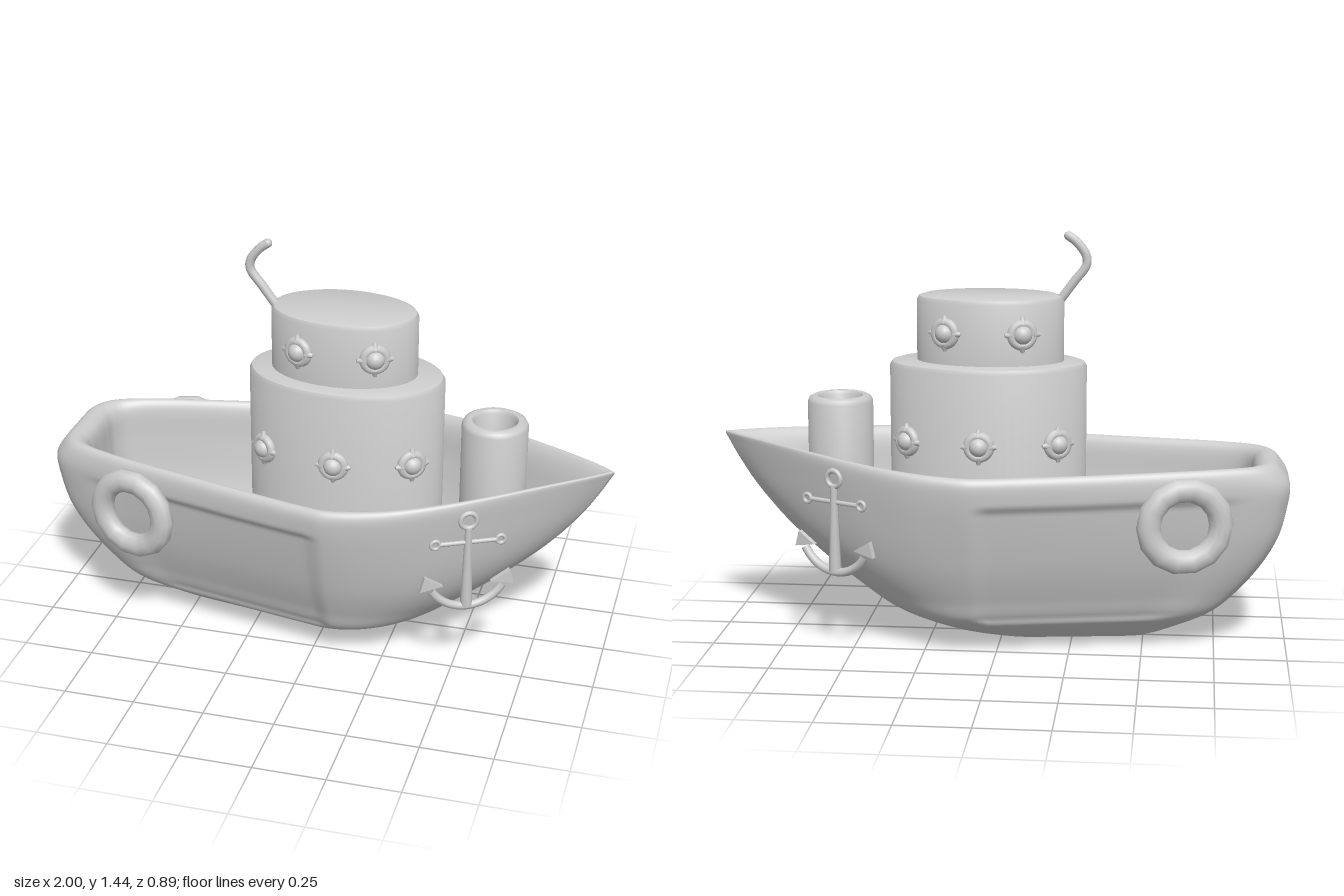
import * as THREE from 'three';
import { toCreasedNormals } from 'three/addons/utils/BufferGeometryUtils.js';

const grey = new THREE.MeshStandardMaterial({ color: 0xcccccc });
const v2 = (x, y) => new THREE.Vector2(x, y);
const v3 = (x, y, z) => new THREE.Vector3(x, y, z);

function add(parent, name, geometry, x = 0, y = 0, z = 0) {
  const mesh = new THREE.Mesh(geometry, grey);
  mesh.name = name;
  mesh.position.set(x, y, z);
  parent.add(mesh);
  return mesh;
}

function group(parent, name, x, y, z, nx, nz) {
  const g = new THREE.Group();
  g.name = name;
  g.position.set(x, y, z);
  g.rotation.y = Math.atan2(nx, nz);
  parent.add(g);
  return g;
}

// Hull: plan outlines stacked from the keel, over the rim, down to the inner floor
function hullGeometry() {
  // [height, stern x, bow x, half width]
  const levels = [
    [0.003, -0.25, -0.2, 0], [0.008, -0.46, 0.03, 0.08], [0.022, -0.53, 0.14, 0.125], [0.055, -0.61, 0.27, 0.195],
    [0.12, -0.74, 0.42, 0.297], [0.2, -0.83, 0.54, 0.335], [0.3, -0.91, 0.67, 0.375],
    [0.4, -0.965, 0.785, 0.404], [0.5, -0.992, 0.88, 0.428], [0.575, -1, 0.94, 0.442],
    [0.63, -0.97, 0.98, 0.445], [0.655, -0.94, 0.995, 0.43], [0.65, -0.9, 0.96, 0.41],
    [0.61, -0.875, 0.91, 0.393], [0.5, -0.868, 0.82, 0.38], [0.35, -0.85, 0.66, 0.345],
    [0.2, -0.76, 0.47, 0.285], [0.12, -0.65, 0.34, 0.22], [0.08, -0.49, 0.18, 0.12], [0.07, -0.2, -0.1, 0],
  ];
  // [fraction of length, fraction of half width]; widest at 0.54
  const outline = new THREE.CatmullRomCurve3([
    [0, 0], [0, 0.16], [0.004, 0.3], [0.03, 0.44], [0.1, 0.555], [0.3, 0.765], [0.5, 0.97], [0.54, 1],
    [0.58, 0.985], [0.65, 0.915], [0.75, 0.725], [0.824, 0.535], [0.9, 0.32], [0.962, 0.135], [1, 0],
  ].map(([t, w]) => v3(t, w, 0)));
  const sterns = new THREE.CatmullRomCurve3(levels.map(l => v3(l[1], l[0], l[3])), false, 'catmullrom');
  const bows = new THREE.CatmullRomCurve3(levels.map(l => v3(l[2], l[0], 0)), false, 'catmullrom');
  const { lerp, smoothstep: step } = THREE.MathUtils;
  const half = 120, ring = half * 2, rows = 152, beam = 0.54;
  const pos = [], index = [];
  for (let j = 0; j <= rows; j++) {
    const s = sterns.getPoint(j / rows), b = bows.getPoint(j / rows);
    const mid = Math.min(0.08, lerp(s.x, b.x, 0.7));
    const full = 1 - step(s.y, 0.2, 0.66);
    const onOutside = j < rows * 0.53;
    for (let i = 0; i < ring; i++) {
      const p = outline.getPoint((i <= half ? i : ring - i) / half);
      let x, w = p.y;
      if (p.x < beam) x = lerp(s.x, mid, p.x / beam);
      else {
        // the bow grows rounder towards the keel
        const u = Math.min(1, (p.x - beam) / (1 - beam));
        x = lerp(mid, b.x, u);
        w = lerp(w, Math.pow(1 - u * u, 0.68), full);
      }
      // sheer lifts the bow and stern
      const lift = 0.06 * step(x, 0, 1.15) * Math.pow(Math.max(s.y, 0) / 0.65, 4) + 0.01 * step(-x, 0.2, 1) * step(s.y, 0.4, 0.6);
      // shallow sunken panel on the after sides
      const panel = onOutside ? step(p.x, 0.06, 0.16) * (1 - step(p.x, 0.5, 0.54)) * step(s.y, 0.1, 0.13) * (1 - step(s.y, 0.53, 0.565)) : 0;
      const z = Math.max(0, w * s.z - 0.014 * panel);
      pos.push(x, s.y + lift, i <= half ? z : -z);
    }
  }
  for (let j = 0; j < rows; j++) for (let i = 0; i < ring; i++) {
    const a = j * ring + i, b = j * ring + (i + 1) % ring;
    index.push(a, b, b + ring, a, b + ring, a + ring);
  }
  const g = new THREE.BufferGeometry();
  g.setAttribute('position', new THREE.Float32BufferAttribute(pos, 3));
  g.setIndex(index);
  g.computeVertexNormals();
  return g;
}

// Oval drum with a bevelled top edge
function drum(rx, rz, y0, y1) {
  const k = 0.018 / rz;
  const g = new THREE.LatheGeometry([v2(1, y0), v2(1, y1 - 0.02), v2(1 - k * 0.3, y1 - 0.006), v2(1 - k, y1), v2(0, y1)], 64);
  return toCreasedNormals(g.scale(rx, 1, rz), 0.6);
}

function addPorthole(parent, x, y, z, nx, nz) {
  const g = group(parent, 'porthole', x, y, z, nx, nz);
  add(g, 'portholeRing', new THREE.TorusGeometry(0.038, 0.016, 10, 24), 0, 0, 0.004);
  add(g, 'portholeGlass', new THREE.SphereGeometry(0.034, 18, 12), 0, 0, 0.006);
  for (let i = 0; i < 4; i++) {
    const a = i * Math.PI / 2;
    const clamp = add(g, 'portholeClamp', new THREE.CylinderGeometry(0.006, 0.016, 0.024, 8), Math.cos(a) * 0.05, Math.sin(a) * 0.05, 0.006);
    clamp.rotation.z = a - Math.PI / 2;
  }
}

function addAnchor(parent, x, z, nx, nz) {
  const g = group(parent, 'anchor', x, 0, z, nx, nz);
  add(g, 'anchorRing', new THREE.TorusGeometry(0.028, 0.009, 8, 20), 0, 0.617, 0);
  add(g, 'anchorShank', new THREE.CylinderGeometry(0.012, 0.022, 0.3, 8), 0, 0.44, 0);
  add(g, 'anchorStock', new THREE.CylinderGeometry(0.008, 0.008, 0.2, 8), 0, 0.535, 0).rotation.z = Math.PI / 2;
  const arc = 2.1;
  add(g, 'anchorArms', new THREE.TorusGeometry(0.146, 0.015, 8, 24, arc), 0, 0.433, 0).rotation.z = -Math.PI / 2 - arc / 2;
  for (const s of [1, -1]) {
    add(g, 'anchorStockEnd', new THREE.TorusGeometry(0.015, 0.007, 8, 14), s * 0.114, 0.535, 0);
    const fluke = new THREE.Shape([v2(s * 0.15, 0.415), v2(s * 0.165, 0.36), v2(s * 0.085, 0.375)]);
    add(g, 'anchorFluke', new THREE.ExtrudeGeometry(fluke, { depth: 0.018, bevelEnabled: false }), 0, 0, -0.009);
  }
}

export function createModel() {
  const boat = new THREE.Group();
  boat.name = 'tugboat';
  add(boat, 'hull', hullGeometry());

  // Two-storey oval cabin
  add(boat, 'lowerCabin', drum(0.345, 0.217, 0.15, 0.99), 0.053);
  add(boat, 'upperCabin', drum(0.257, 0.163, 0.97, 1.22), 0.045);

  // Portholes follow the oval walls
  const portRows = [
    { cx: 0.053, rx: 0.345, rz: 0.217, y: 0.722, xs: [-0.2, 0.063, 0.318] },
    { cx: 0.045, rx: 0.257, rz: 0.163, y: 1.1, xs: [-0.078, 0.185] },
  ];
  for (const { cx, rx, rz, y, xs } of portRows) for (const x of xs) for (const s of [1, -1]) {
    const c = (x - cx) / rx, w = s * Math.sqrt(1 - c * c);
    addPorthole(boat, x, y, w * rz, c / rx, w / rz);
  }

  // Hollow funnel on the foredeck
  const funnel = [[0.115, 0.35], [0.115, 0.835], [0.109, 0.849], [0.094, 0.857], [0.08, 0.855], [0.072, 0.843], [0.07, 0.65], [0, 0.65]];
  add(boat, 'funnel', toCreasedNormals(new THREE.LatheGeometry(funnel.map(p => v2(...p)), 40), 0.7), 0.577, 0, -0.008);

  // Bent exhaust pipe
  const bend = [v3(-0.19, 1.19, 0.004), v3(-0.245, 1.265, 0.004), v3(-0.288, 1.325, 0.004), v3(-0.285, 1.36, 0.004), v3(-0.25, 1.405, 0.004), v3(-0.225, 1.423, 0.004)];
  add(boat, 'pipe', new THREE.TubeGeometry(new THREE.CatmullRomCurve3(bend), 32, 0.016, 10));
  add(boat, 'pipeTip', new THREE.SphereGeometry(0.016, 10, 8), -0.225, 1.423, 0.004);

  // Lifebuoys and anchors on both sides
  for (const s of [1, -1]) {
    const buoy = add(boat, 'lifebuoy', new THREE.TorusGeometry(0.126, 0.042, 12, 14), -0.643, 0.485, s * 0.312);
    buoy.rotation.y = Math.atan2(-0.25, s * 0.968);
    buoy.scale.z = 0.85;
    addAnchor(boat, 0.553, s * 0.291, 0.447, s * 0.894);
  }
  return boat;
}
